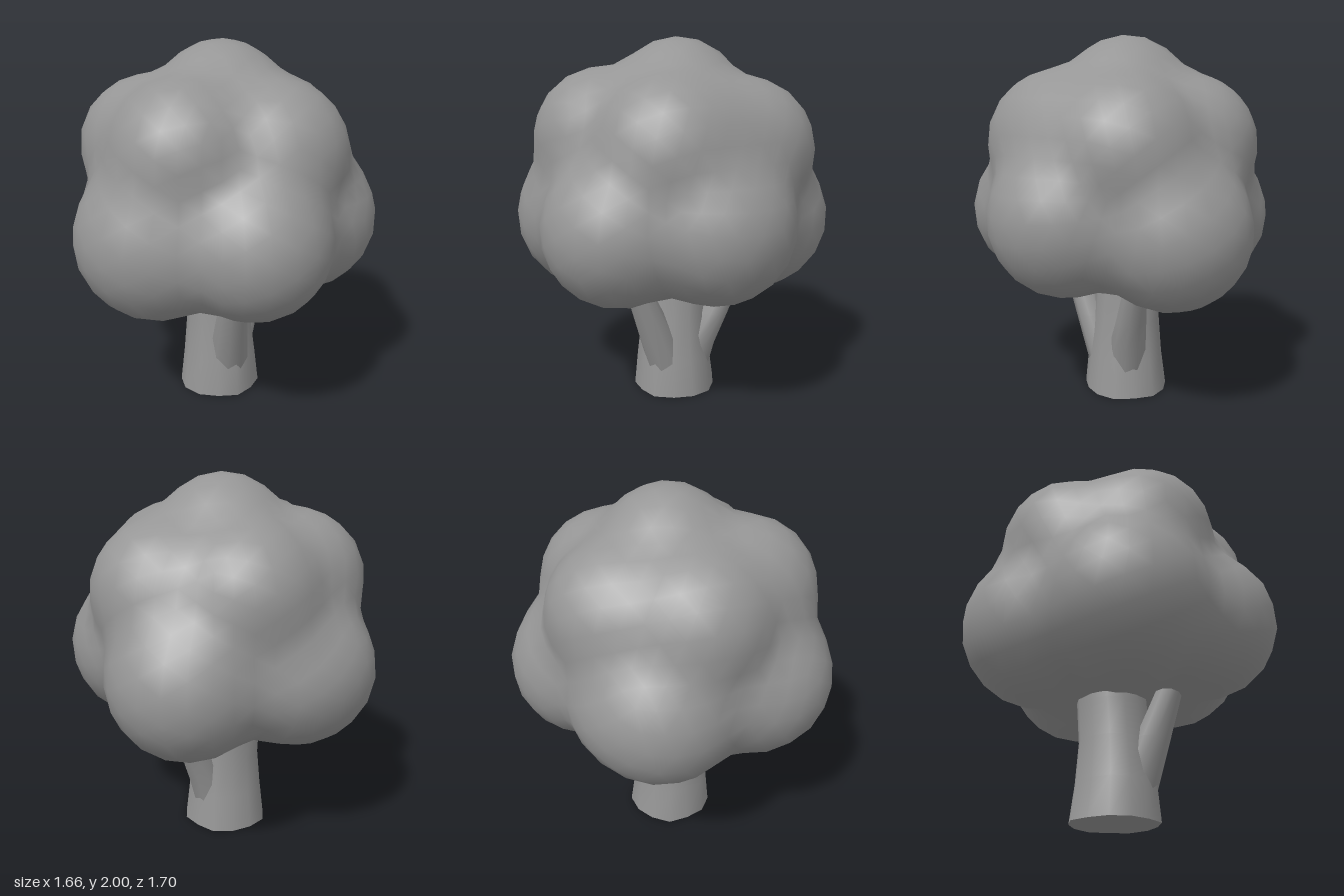
import * as THREE from 'three';
import { mergeVertices, toCreasedNormals } from 'three/addons/utils/BufferGeometryUtils.js';

const material = new THREE.MeshStandardMaterial({ color: 0x969696 });

// Foliage clumps: x, y, z, radius
const CLUMPS = [
  [0, 1.18, 0, 0.54],          // core
  [-0.01, 1.65, -0.02, 0.348], // crown top
  // upper ring
  [0.27, 1.44, 0.23, 0.375],
  [0.28, 1.42, 0, 0.365],
  [0.29, 1.42, -0.26, 0.365],
  [-0.15, 1.42, -0.33, 0.375],
  [-0.4, 1.44, 0.0, 0.37],
  [-0.2, 1.465, 0.34, 0.375],
  // lower ring
  [0.43, 1.05, 0.035, 0.41],
  [0.15, 1.0, -0.435, 0.42],
  [-0.42, 1.0, -0.2, 0.41],
  [-0.33, 1.0, -0.32, 0.33],
  [-0.335, 1.02, 0.335, 0.435],
  [0.16, 1.03, 0.455, 0.4],
];

// Signed distance to the softly blended clumps
function foliageDistance(p) {
  const k = 0.042;
  let sum = 0;
  for (const [x, y, z, r] of CLUMPS) {
    sum += Math.exp(-(Math.hypot(p.x - x, p.y - y, p.z - z) - r) / k);
  }
  return -k * Math.log(sum);
}

// Push a coarse sphere's vertices out to the blended surface
function createFoliage() {
  let geo = new THREE.IcosahedronGeometry(1, 7);
  geo.deleteAttribute('uv');
  geo.deleteAttribute('normal');
  geo = mergeVertices(geo, 1e-4);
  const center = new THREE.Vector3(0, 1.2, 0);
  const pos = geo.attributes.position;
  const dir = new THREE.Vector3();
  const p = new THREE.Vector3();
  for (let i = 0; i < pos.count; i++) {
    dir.fromBufferAttribute(pos, i).normalize();
    let near = 0.3, far = 1.3;
    for (let step = 0; step < 24; step++) {
      const mid = (near + far) / 2;
      p.copy(center).addScaledVector(dir, mid);
      if (foliageDistance(p) < 0) near = mid; else far = mid;
    }
    pos.setXYZ(i, p.x, p.y, p.z);
  }
  geo.computeVertexNormals();
  return geo;
}

// Limb through rings of [x, y, z, radius], with an optional lumpy outline
function createLimb(rings, sides, lump = 0) {
  const geo = new THREE.CylinderGeometry(1, 1, 1, sides, rings.length - 1);
  const pos = geo.attributes.position;
  for (let i = 0; i < pos.count; i++) {
    const [x, y, z, r] = rings[Math.round((pos.getY(i) + 0.5) * (rings.length - 1))];
    const a = Math.atan2(pos.getZ(i), pos.getX(i));
    const s = r * (1 + lump * Math.cos(5 * a + 1));
    pos.setXYZ(i, x + pos.getX(i) * s, y, z + pos.getZ(i) * s);
  }
  return toCreasedNormals(geo, 1.0);
}

export function createModel() {
  const tree = new THREE.Group();
  tree.name = 'tree';
  const add = (name, geo) => {
    const mesh = new THREE.Mesh(geo, material);
    mesh.name = name;
    tree.add(mesh);
  };

  add('foliage', createFoliage());

  add('trunk', createLimb([
    [-0.025, 0, -0.01, 0.235],
    [-0.025, 0.2, -0.005, 0.212],
    [-0.03, 0.42, -0.01, 0.188],
    [-0.04, 0.62, -0.02, 0.187],
    [-0.05, 0.76, -0.03, 0.19],
  ], 13, 0.035));

  // Forking limbs that grow out of the trunk into the foliage
  add('frontBranch', createLimb([
    [0.02, 0.02, 0.03, 0.12],
    [0.03, 0.17, 0.085, 0.115],
    [0.045, 0.42, 0.188, 0.095],
    [0.065, 0.74, 0.325, 0.064],
  ], 9));
  add('backBranch', createLimb([
    [0.03, 0.02, -0.06, 0.1],
    [0.08, 0.28, -0.1, 0.105],
    [0.138, 0.46, -0.17, 0.085],
    [0.222, 0.74, -0.27, 0.058],
  ], 9));

  return tree;
}
